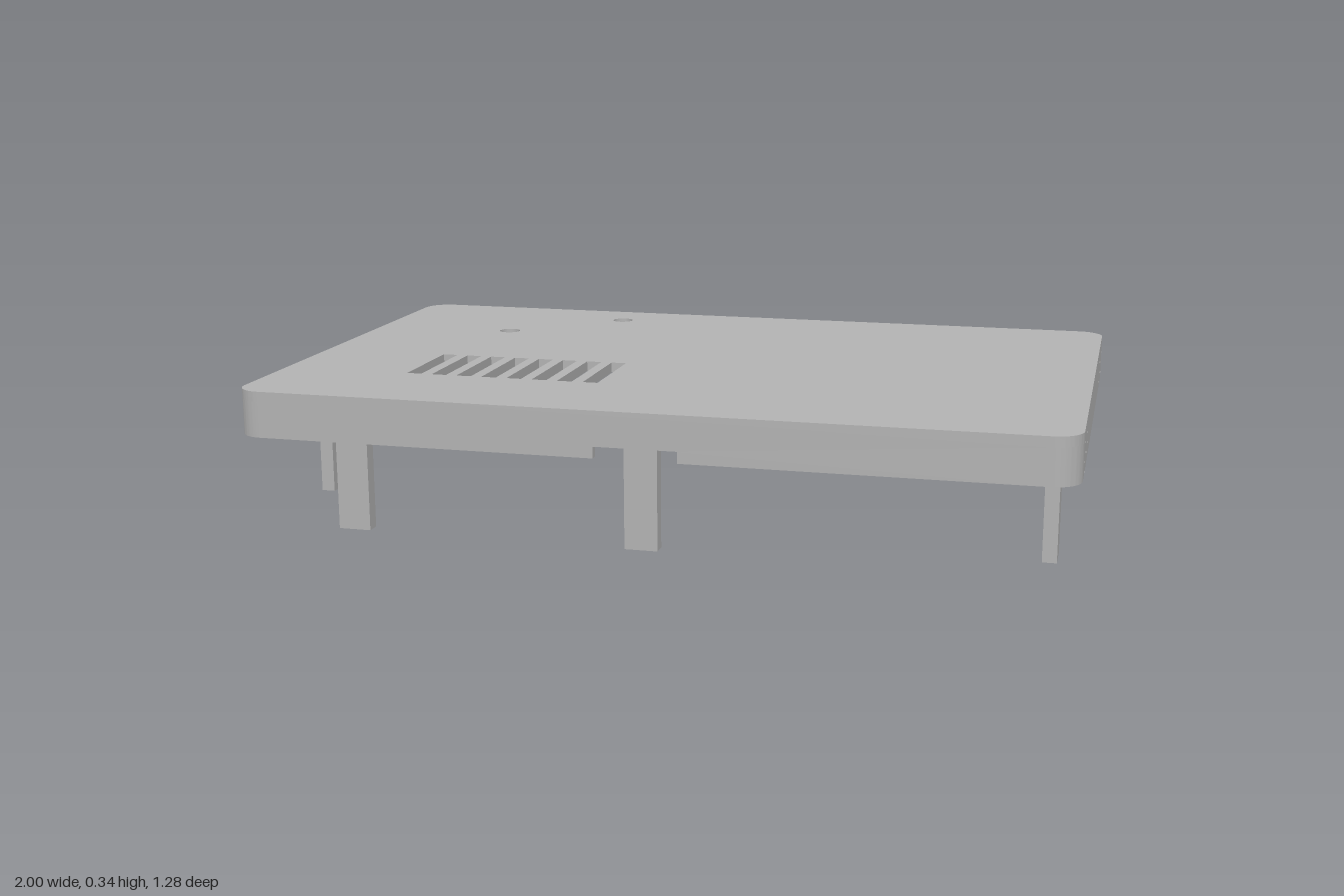
import * as THREE from 'three';
import { toCreasedNormals } from 'three/addons/utils/BufferGeometryUtils.js';

const W = 1, D = 0.64;             // half width and half depth
const R = 0.065, T = 0.02;         // corner radius and wall thickness
const RIM = 0.227, UNDER = 0.315, TOP = 0.34;

const extrude = (shape, depth) => toCreasedNormals(
  new THREE.ExtrudeGeometry(shape, { depth, bevelEnabled: false, curveSegments: 10 }), 0.6);

// Rounded top plate with vent slots and two round holes
function plateShape() {
  const s = new THREE.Shape();
  s.absarc(W - R, D - R, R, 0, Math.PI / 2);
  s.absarc(-W + R, D - R, R, Math.PI / 2, Math.PI);
  s.absarc(-W + R, -D + R, R, Math.PI, Math.PI * 1.5);
  s.absarc(W - R, -D + R, R, Math.PI * 1.5, Math.PI * 2);
  s.closePath();
  for (let i = 0; i < 8; i++) {
    const x0 = -0.674 + i * 0.0657, x1 = x0 + 0.038;
    s.holes.push(new THREE.Path([
      new THREE.Vector2(x0, -0.1), new THREE.Vector2(x0, -0.348),
      new THREE.Vector2(x1, -0.348), new THREE.Vector2(x1, -0.1)]));
  }
  for (const [x, z] of [[-0.36, -0.505], [-0.622, -0.268]]) {
    s.holes.push(new THREE.Path().absarc(x, -z, 0.028, 0, Math.PI * 2, true));
  }
  return s;
}

// Straight wall elevation; each cut is [centre, width, top] open at the rim
function wallShape(half, cuts) {
  const s = new THREE.Shape();
  s.moveTo(-half, RIM);
  for (const [c, w, top] of [...cuts].sort((a, b) => a[0] - b[0])) {
    s.lineTo(c - w / 2, RIM);
    s.lineTo(c - w / 2, top);
    s.lineTo(c + w / 2, top);
    s.lineTo(c + w / 2, RIM);
  }
  s.lineTo(half, RIM);
  s.lineTo(half, UNDER);
  s.lineTo(-half, UNDER);
  s.closePath();
  return s;
}

export function createModel() {
  const model = new THREE.Group();
  model.name = 'ventedLid';
  const grey = new THREE.MeshStandardMaterial({ color: 0xb2b2b2 });
  grey.name = 'grey plastic';

  const add = (name, geometry, x = 0, y = 0, z = 0) => {
    const m = new THREE.Mesh(geometry, grey);
    m.name = name;
    m.position.set(x, y, z);
    model.add(m);
    return m;
  };
  const box = (name, x0, x1, y0, y1, z0, z1) => add(name,
    new THREE.BoxGeometry(x1 - x0, y1 - y0, z1 - z0),
    (x0 + x1) / 2, (y0 + y1) / 2, (z0 + z1) / 2);

  add('topPlate', extrude(plateShape(), TOP - UNDER), 0, UNDER, 0).rotation.x = -Math.PI / 2;

  // Walls: finger notch at the front, slits beside the snap tabs on the sides
  const slits = [0.504, 0.384, -0.454, -0.574];
  const walls = [
    ['frontWall', 0, W - R, D, [[0, 0.2, 0.255]]],
    ['backWall', Math.PI, W - R, D, []],
    ['leftWall', Math.PI / 2, D - R, W, slits.map(z => [-z, 0.009, UNDER - 0.002])],
    ['rightWall', -Math.PI / 2, D - R, W, slits.map(z => [z, 0.009, UNDER - 0.002])],
  ];
  for (const [name, angle, half, out, cuts] of walls) {
    const g = extrude(wallShape(half, cuts), T);
    g.translate(0, 0, out - T);
    add(name, g).rotation.y = angle;
  }

  // Rounded wall corners
  const arc = new THREE.Shape();
  arc.absarc(0, 0, R, 0, Math.PI / 2);
  arc.absarc(0, 0, R - T, Math.PI / 2, 0, true);
  arc.closePath();
  const cornerGeo = extrude(arc, UNDER - RIM).rotateX(-Math.PI / 2);
  [[1, -1], [-1, -1], [-1, 1], [1, 1]].forEach(([sx, sz], i) => {
    add('cornerWall', cornerGeo, sx * (W - R), RIM, sz * (D - R)).rotation.y = i * Math.PI / 2;
  });

  // Snap ridges inside the side tabs
  for (const z of [0.444, -0.514]) {
    for (const s of [-1, 1]) {
      const a = s * (W - T), b = s * (W - T - 0.014);
      box('snapRidge', Math.min(a, b), Math.max(a, b), 0.256, 0.27, z - 0.062, z + 0.062);
    }
  }

  // Legs hanging from the underside
  for (const x of [-0.72, 0]) box('frontLeg', x - 0.04, x + 0.04, 0, UNDER, 0.558, 0.592);
  for (const x of [-0.72, 0.72]) box('backLeg', x - 0.04, x + 0.04, 0, UNDER, -0.592, -0.558);
  box('leftLeg', 0.914, 0.948, 0, UNDER, 0.379, 0.461);
  box('rightLeg', -0.952, -0.918, 0, UNDER, 0.2, 0.282);

  return model;
}
